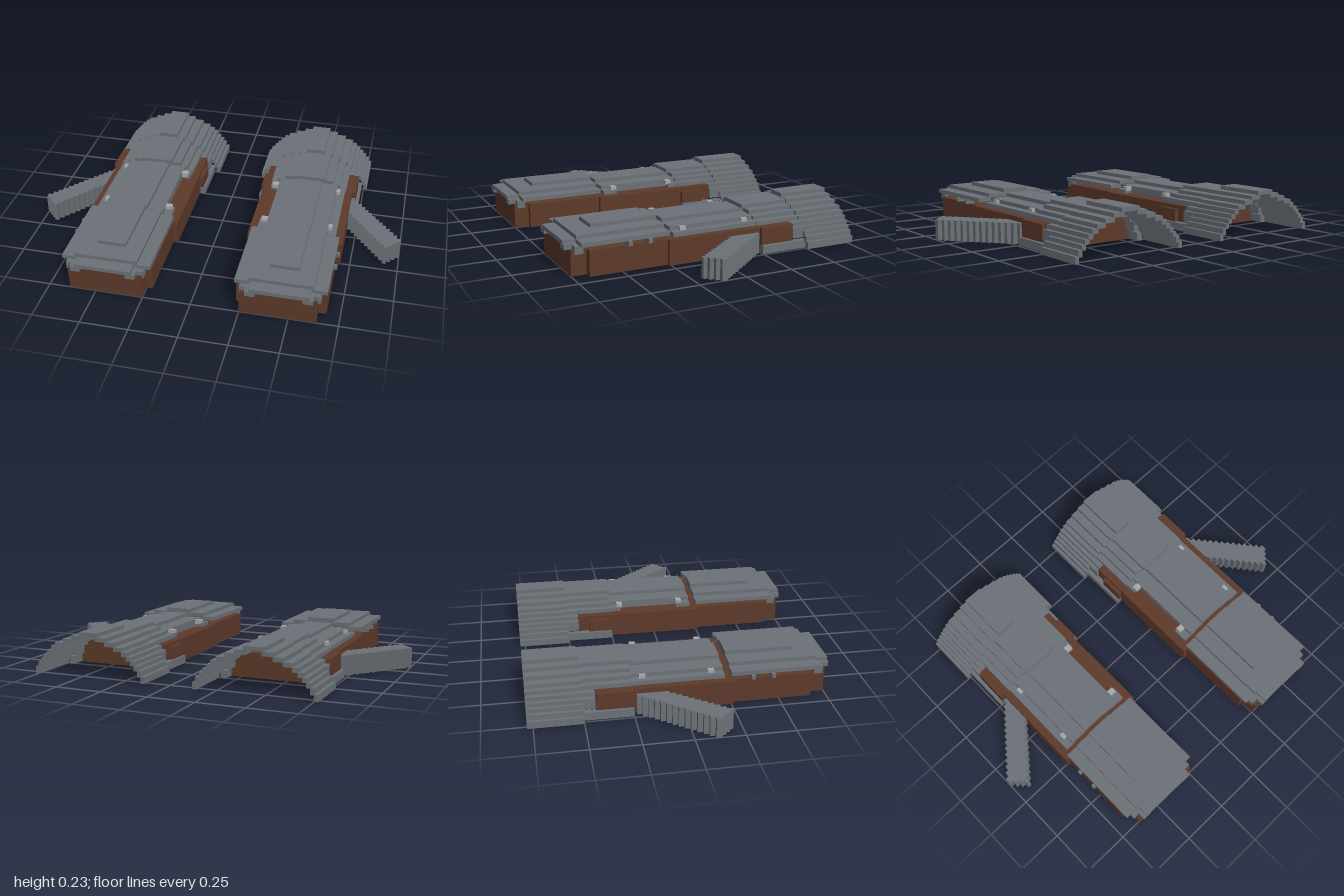
import * as THREE from 'three';

export function createModel() {
  const mat = (name, hex) => {
    const m = new THREE.MeshStandardMaterial({ color: hex });
    m.name = name;
    return m;
  };
  const leather = mat('brown leather', 0x5e3a2b);
  const steel = mat('grey steel', 0x6c7278);
  const rivet = mat('light rivet', 0xa6a8aa);
  const root = new THREE.Group();
  root.name = 'gauntlets';

  // One gauntlet; coordinates are measured across the hand, outward positive
  function gauntlet(side) {
    const g = new THREE.Group();
    g.name = side > 0 ? 'leftGauntlet' : 'rightGauntlet';
    const box = (name, m, x0, x1, y0, y1, z0, z1) => {
      const mesh = new THREE.Mesh(new THREE.BoxGeometry(x1 - x0, y1 - y0, z1 - z0), m);
      mesh.position.set(side * (0.45 + (x0 + x1) / 2), (y0 + y1) / 2, (z0 + z1) / 2);
      mesh.name = name;
      g.add(mesh);
    };
    const pair = (name, m, a, b, ...rest) => {
      box(name, m, a, b, ...rest);
      box(name, m, -b, -a, ...rest);
    };

    // Leather glove
    box('palm', leather, -0.255, 0.25, 0, 0.13, -0.44, 0.26);
    box('wristBlock', leather, 0.25, 0.27, 0.04, 0.13, -0.435, -0.25);
    box('innerWristBlock', leather, -0.275, -0.255, 0.04, 0.11, -0.38, -0.25);
    box('fingers', leather, -0.23, 0.23, 0, 0.13, 0.26, 0.67);
    box('fingerTips', leather, -0.2, 0.19, 0, 0.13, 0.67, 0.75);

    // Flared cuff: stepped arch, each row is [inner, outer, bottom, top]
    const arch = [
      [0.04, 0.1, 0.192, 0.214], [0.095, 0.15, 0.17, 0.194],
      [0.145, 0.195, 0.15, 0.172], [0.19, 0.222, 0.128, 0.152],
      [0.217, 0.245, 0.106, 0.13], [0.24, 0.265, 0.084, 0.108],
      [0.26, 0.283, 0.06, 0.086], [0.28, 0.302, 0.03, 0.064], [0.298, 0.319, 0, 0.036],
    ];
    box('cuffRidge', steel, -0.053, 0.053, 0.213, 0.235, -0.78, -0.5);
    for (const [a, b, y0, y1] of arch) pair('cuffStep', steel, a, b, y0, y1, -0.78, -0.5);

    // Wrist arch in front of the cuff
    box('wristRidge', steel, -0.09, 0.09, 0.19, 0.212, -0.51, -0.235);
    pair('wristStep', steel, 0.075, 0.14, 0.17, 0.192, -0.51, -0.25);
    pair('wristStep', steel, 0.13, 0.18, 0.15, 0.172, -0.51, -0.25);
    pair('wristStep', steel, 0.17, 0.215, 0.13, 0.152, -0.51, -0.25);
    pair('wristSide', steel, 0.21, 0.245, 0.1, 0.13, -0.51, -0.44);
    pair('wristSide', steel, 0.235, 0.268, 0.05, 0.108, -0.51, -0.44);
    pair('wristFoot', steel, 0.256, 0.288, 0, 0.042, -0.51, -0.25);

    // Back of the hand
    box('handRidge', steel, -0.075, 0.075, 0.17, 0.192, -0.25, 0.22);
    pair('handStep', steel, 0.065, 0.165, 0.15, 0.172, -0.25, 0.22);
    box('handEdge', steel, 0.15, 0.21, 0.13, 0.152, -0.25, 0.22);
    box('handEdgeInner', steel, -0.165, -0.12, 0.13, 0.152, -0.25, 0.22);
    box('handRail', steel, -0.21, -0.16, 0.13, 0.152, -0.25, -0.19);
    box('handRail', steel, -0.21, -0.16, 0.13, 0.152, 0.14, 0.22);
    for (const z of [-0.195, 0.155]) {
      box('rivet', rivet, -0.2, -0.165, 0.145, 0.17, z - 0.016, z + 0.016);
      box('rivet', rivet, 0.165, 0.185, 0.145, 0.17, z - 0.016, z + 0.016);
    }

    // Finger plates
    box('fingerPlateTop', steel, -0.075, 0.075, 0.19, 0.212, 0.25, 0.605);
    box('fingerPlate', steel, -0.165, 0.165, 0.17, 0.192, 0.25, 0.71);
    pair('fingerPlateSide', steel, 0.155, 0.233, 0.15, 0.172, 0.25, 0.71);
    box('knucklePlate', steel, -0.15, 0.15, 0.15, 0.172, 0.66, 0.775);
    pair('knuckleStep', steel, 0.12, 0.17, 0.128, 0.155, 0.66, 0.775);
    pair('knuckleSide', steel, 0.165, 0.205, 0.11, 0.152, 0.69, 0.735);
    for (const z of [0.36, 0.465]) {
      box('fingerStud', steel, 0.2, 0.25, 0.13, 0.152, z - 0.01, z + 0.01);
    }

    // Thumb guard: staggered slices
    const n = 14, w = 0.3 / n;
    for (let i = 0; i < n; i++) {
      const x = 0.25 + i * w;
      const z0 = -0.235 + i * 0.026;
      const z1 = i < 11 ? -0.07 + i * 0.027 : 0.2 - (i - 10) * 0.022;
      box('thumbSlice', steel, x, x + w, 0, 0.106, z0, Math.max(z1, z0 + 0.02));
    }
    root.add(g);
  }

  gauntlet(1);
  gauntlet(-1);
  return root;
}
